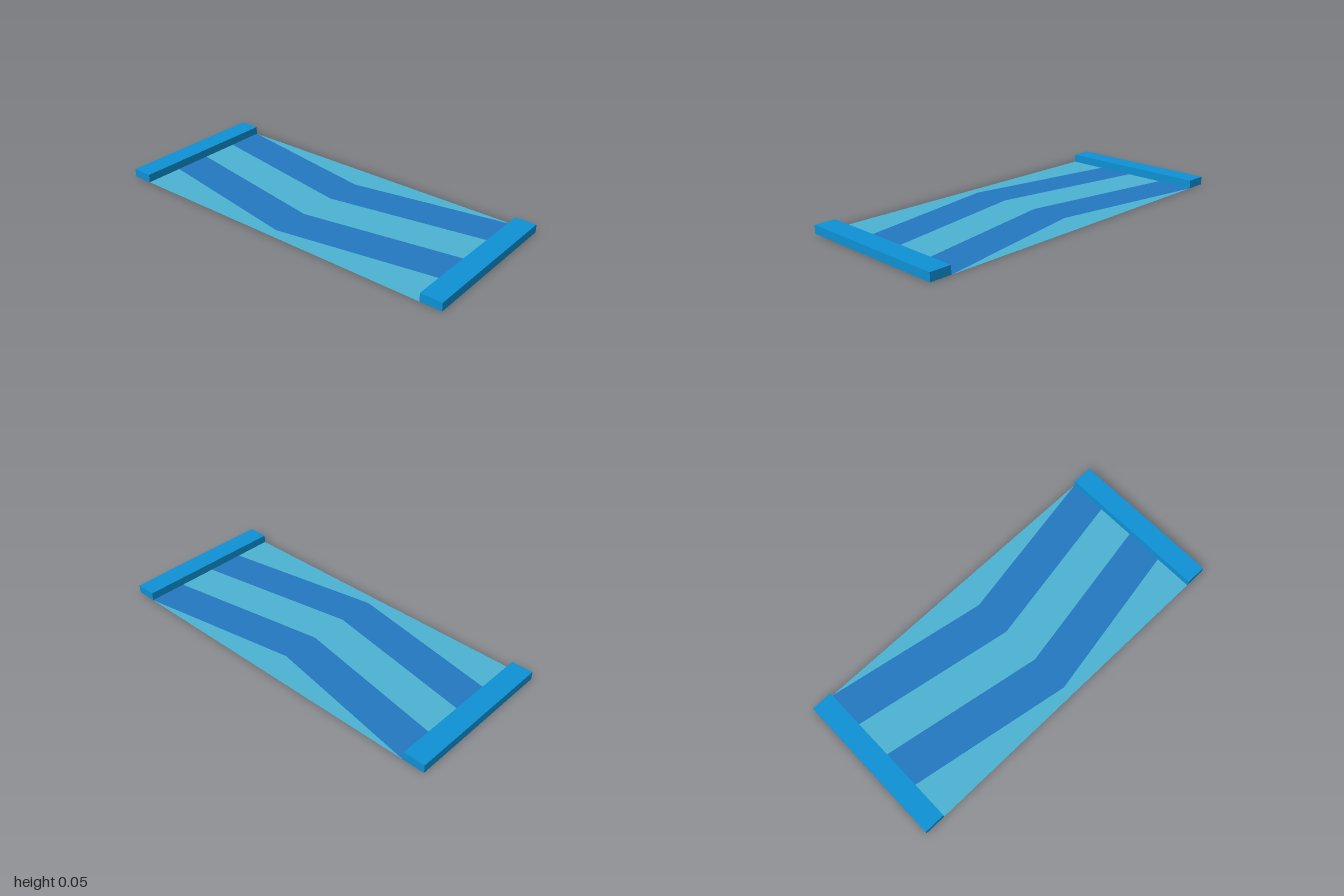
import * as THREE from 'three';

const HALF_LENGTH = 1, BAR_WIDTH = 0.115, BAR_HEIGHT = 0.045, HALF_DEPTH = 0.426;
const INNER = HALF_LENGTH - BAR_WIDTH; // half length of the cloth
const DROP = 0.157; // how far each chevron dips toward the front at the middle

function material(name, color) {
  const m = new THREE.MeshStandardMaterial({ color, side: THREE.DoubleSide });
  m.name = name;
  return m;
}

// Flat polygon lying on the ground, from [x, z] corners
function flatPanel(points) {
  const shape = new THREE.Shape(points.map(([x, z]) => new THREE.Vector2(x, -z)));
  return new THREE.ShapeGeometry(shape).rotateX(-Math.PI / 2);
}

// Thin-walled bar, open underneath
function openBar() {
  const geo = new THREE.BoxGeometry(BAR_WIDTH, BAR_HEIGHT, HALF_DEPTH * 2);
  const index = Array.from(geo.index.array);
  index.splice(18, 6); // drop the bottom face
  geo.setIndex(index);
  geo.clearGroups();
  return geo;
}

export function createModel() {
  const group = new THREE.Group();
  const barBlue = material('barBlue', 0x0e92d6);
  const paleCloth = material('paleCloth', 0x4cb4d4);
  const stripeBlue = material('stripeBlue', 0x2579c3);

  const add = (name, geo, mat) => {
    const mesh = new THREE.Mesh(geo, mat);
    mesh.name = name;
    group.add(mesh);
    return mesh;
  };

  // End bars
  for (const [name, side] of [['leftBar', 1], ['rightBar', -1]]) {
    add(name, openBar(), barBlue).position.set(side * (HALF_LENGTH - BAR_WIDTH / 2), BAR_HEIGHT / 2, 0);
  }

  // Cloth: three alternating full chevron bands
  const edges = [-HALF_DEPTH, -0.215, 0, 0.212];
  for (let i = 0; i < 3; i++) {
    const a = edges[i], b = edges[i + 1];
    const striped = i % 2 === 0;
    add(striped ? 'chevronStripe' : 'clothBand', flatPanel([
      [-INNER, a], [0, a + DROP], [INNER, a], [INNER, b], [0, b + DROP], [-INNER, b],
    ]), striped ? stripeBlue : paleCloth);
  }

  // Cloth: triangle behind the chevrons and remainder in front of them
  add('clothBack', flatPanel([
    [-INNER, -HALF_DEPTH], [INNER, -HALF_DEPTH], [0, -HALF_DEPTH + DROP],
  ]), paleCloth);
  add('clothFront', flatPanel([
    [-INNER, edges[3]], [0, edges[3] + DROP], [INNER, edges[3]], [INNER, HALF_DEPTH], [-INNER, HALF_DEPTH],
  ]), paleCloth);

  return group;
}
